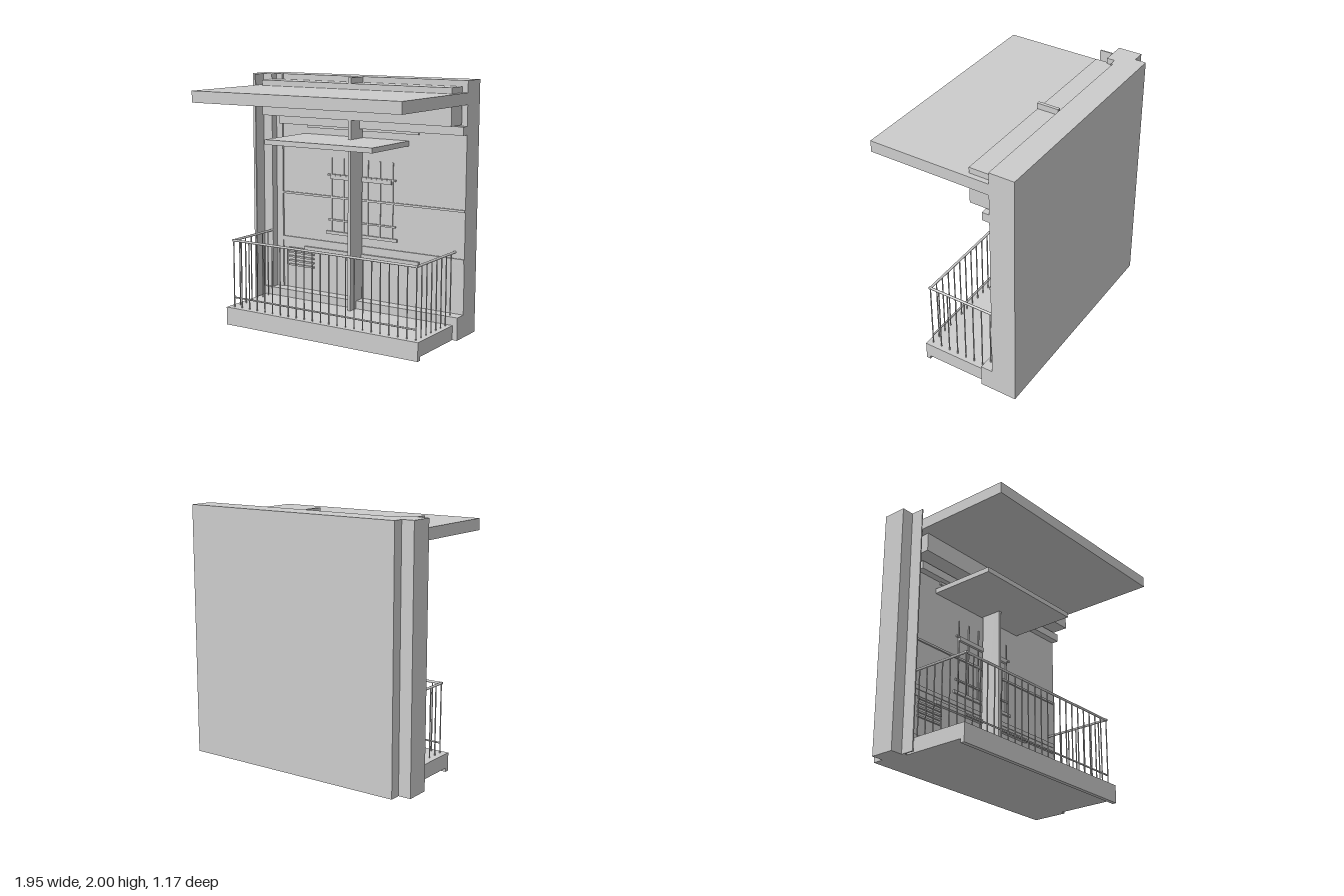
import * as THREE from 'three';

export function createModel() {
  const model = new THREE.Group();
  const plaster = new THREE.MeshStandardMaterial({ color: 0xcccccc });
  plaster.name = 'light grey';

  // Box given by its limits on each axis
  function box(name, x0, x1, y0, y1, z0, z1, parent = model) {
    const mesh = new THREE.Mesh(new THREE.BoxGeometry(x1 - x0, y1 - y0, z1 - z0), plaster);
    mesh.position.set((x0 + x1) / 2, (y0 + y1) / 2, (z0 + z1) / 2);
    mesh.name = name;
    parent.add(mesh);
  }
  // Round bar between two points
  function bar(name, a, b, radius, parent = model) {
    const from = new THREE.Vector3(...a), to = new THREE.Vector3(...b);
    const dir = to.clone().sub(from);
    const mesh = new THREE.Mesh(new THREE.CylinderGeometry(radius, radius, dir.length(), 8), plaster);
    mesh.position.copy(from).add(to).multiplyScalar(0.5);
    mesh.quaternion.setFromUnitVectors(new THREE.Vector3(0, 1, 0), dir.normalize());
    mesh.name = name;
    parent.add(mesh);
  }
  function group(name) {
    const g = new THREE.Group();
    g.name = name;
    model.add(g);
    return g;
  }

  const wallZ = -0.388;

  // Wall, stepped pilaster and plinth
  box('backWall', -0.875, 0.97, 0.03, 2, -0.588, wallZ);
  box('cornerPilaster', -0.975, -0.78, 0.03, 2, -0.5, -0.31);
  box('pilasterStep', -0.78, -0.72, 0.03, 2, -0.45, -0.373);
  box('pilasterFin', -0.875, -0.865, 0.03, 2, -0.31, -0.205);
  box('plinth', -0.87, 0.97, 0.03, 0.21, wallZ, -0.29);

  // Roof, beam, lintel and centre post
  box('roofSlab', -0.87, 0.97, 1.82, 1.91, wallZ, 0.585);
  box('roofBeam', -0.8, 0.93, 1.67, 1.955, -0.375, -0.207);
  box('lintel', -0.72, 0.97, 1.595, 1.66, wallZ, -0.33);
  box('centrePost', 0.034, 0.06, 0.145, 2, -0.375, -0.203);

  // Window awning and wall mouldings
  box('awning', -0.51, 0.475, 1.48, 1.52, wallZ, 0.155);
  box('awningTrack', -0.47, 0.565, 1.572, 1.595, wallZ, -0.373);
  box('upperMoulding', -0.72, 0.97, 1.008, 1.025, wallZ, -0.375);
  box('dadoMoulding', -0.72, 0.97, 0.61, 0.645, wallZ, -0.376);
  box('dadoBand', -0.72, 0.97, 0.56, 0.61, wallZ, -0.382);
  box('wallRail', -0.495, 0.585, 0.55, 0.58, wallZ, -0.362);

  // Window grille
  const grille = group('windowGrille');
  for (let i = 0; i < 6; i++) {
    const x = -0.237 + i * 0.1145;
    box('grilleBar', x - 0.005, x + 0.005, 0.73, 1.34, wallZ, -0.38, grille);
  }
  box('upperGrilleRail', -0.27, 0.365, 1.193, 1.206, wallZ, -0.37, grille);
  box('grilleBox', -0.24, 0.33, 1.167, 1.197, wallZ, -0.366, grille);
  box('lowerGrilleRail', -0.27, 0.365, 0.823, 0.836, wallZ, -0.374, grille);
  box('windowSill', -0.285, 0.38, 0.71, 0.735, wallZ, -0.372, grille);

  // Vent slats
  const vent = group('vent');
  for (let i = 0; i < 5; i++) {
    const y = 0.405 + i * 0.0355;
    box('ventSlat', -0.665, -0.415, y - 0.007, y + 0.007, wallZ, -0.374, vent);
  }

  // Balcony floor
  box('balconySlab', -0.84, 0.93, 0.03, 0.145, wallZ, 0.247);
  box('dripEdge', -0.84, 0.93, 0, 0.03, 0.213, 0.247);

  // Balcony railing
  const railing = group('railing');
  const left = -0.79, right = 0.89, front = 0.205, pitch = (right - left) / 22;
  for (let i = 0; i <= 22; i++) {
    const x = left + i * pitch;
    bar('frontBaluster', [x, 0.14, front], [x, 0.695, front], 0.005, railing);
  }
  bar('frontHandrail', [left - 0.01, 0.695, front], [right + 0.01, 0.695, front], 0.01, railing);
  bar('frontLowerRail', [left, 0.225, front], [right, 0.225, front], 0.007, railing);
  for (const x of [left, right]) {
    bar('sideHandrail', [x, 0.695, wallZ], [x, 0.695, front + 0.01], 0.01, railing);
    for (let i = 1; i < 8; i++) {
      const z = front - i * 0.0757;
      bar('sideBaluster', [x, 0.14, z], [x, 0.695, z], 0.005, railing);
    }
  }
  return model;
}
